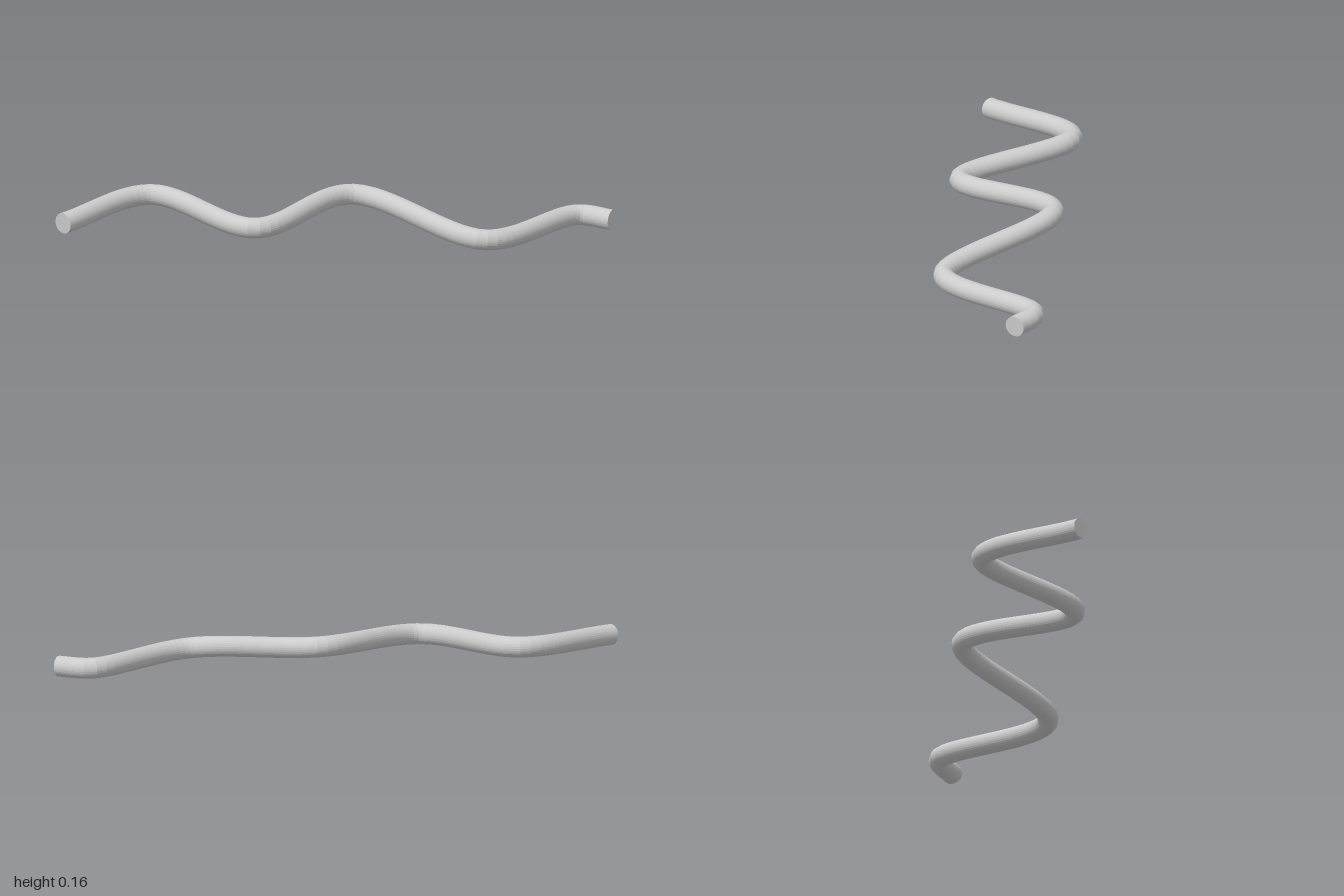
import * as THREE from 'three';

const RADIUS = 0.037;
const SIDES = 32;

export function createModel() {
  const group = new THREE.Group();
  group.name = 'wavyRod';
  const material = new THREE.MeshStandardMaterial({ color: 0xcccccc, flatShading: true });

  // Centre line: the two ends and the crest of every bend
  const path = new THREE.CatmullRomCurve3([
    [-0.974, 0.107, 0.139],
    [-0.655, 0.126, -0.182],
    [-0.297, 0.097, 0.184],
    [0.057, 0.123, -0.182],
    [0.512, 0.046, 0.168],
    [0.855, 0.043, -0.184],
    [0.973, 0.038, -0.126],
  ].map((p) => new THREE.Vector3(...p)));

  // Round rod swept along the centre line
  const rod = new THREE.Mesh(new THREE.TubeGeometry(path, 96, RADIUS, SIDES), material);
  rod.name = 'rod';
  group.add(rod);

  // Flat discs closing both ends, facing outward
  for (const [name, t, sign] of [['startCap', 0, -1], ['endCap', 1, 1]]) {
    const cap = new THREE.Mesh(new THREE.CircleGeometry(RADIUS, SIDES), material);
    const outward = path.getTangentAt(t).multiplyScalar(sign);
    cap.name = name;
    cap.position.copy(path.getPointAt(t));
    cap.quaternion.setFromUnitVectors(new THREE.Vector3(0, 0, 1), outward);
    group.add(cap);
  }
  return group;
}
